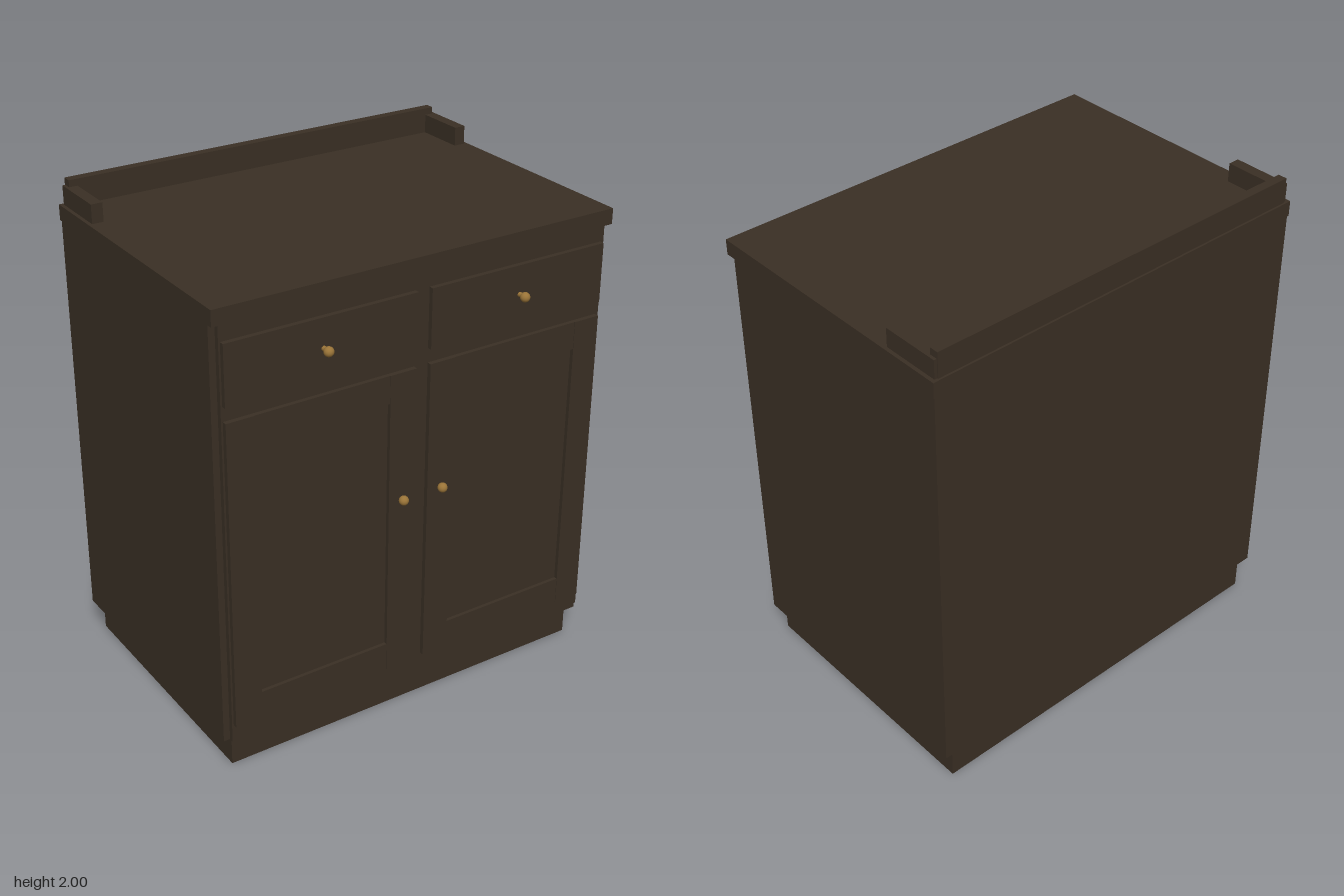
import * as THREE from 'three';

const wood = new THREE.MeshStandardMaterial({ name: 'dark wood', color: 0x3a2f24 });
const brass = new THREE.MeshStandardMaterial({ name: 'aged brass', color: 0x9a7438 });

// Box given by its extents on each axis
function box(parent, name, [x0, x1], [y0, y1], [z0, z1]) {
  const mesh = new THREE.Mesh(new THREE.BoxGeometry(x1 - x0, y1 - y0, z1 - z0), wood);
  mesh.position.set((x0 + x1) / 2, (y0 + y1) / 2, (z0 + z1) / 2);
  mesh.name = name;
  parent.add(mesh);
}

// Same box on both sides, mirrored in x
function pair(parent, name, [x0, x1], y, z) {
  box(parent, name + 'Left', [x0, x1], y, z);
  box(parent, name + 'Right', [-x1, -x0], y, z);
}

// Round knob on a short stem, turned around z
function knob(parent, name, x, y, z0, z1) {
  const r = 0.019;
  const group = new THREE.Group();
  group.name = name;
  const ball = new THREE.Mesh(new THREE.SphereGeometry(r, 20, 14), brass);
  ball.name = 'knobBall';
  ball.position.z = z1 - r;
  const stem = new THREE.Mesh(new THREE.CylinderGeometry(0.008, 0.01, z1 - r - z0, 16), brass);
  stem.name = 'knobStem';
  stem.rotation.x = Math.PI / 2;
  stem.position.z = (z0 + z1 - r) / 2;
  group.add(ball, stem);
  group.position.set(x, y, 0);
  parent.add(group);
}

export function createModel() {
  const cabinet = new THREE.Group();
  cabinet.name = 'cabinet';

  // Recessed base, carcass and worktop
  box(cabinet, 'plinth', [-0.803, 0.803], [0, 0.135], [-0.585, 0.495]);
  box(cabinet, 'carcass', [-0.846, 0.846], [0.135, 1.836], [-0.602, 0.515]);
  box(cabinet, 'worktop', [-0.851, 0.851], [1.836, 1.898], [-0.605, 0.549]);

  // Upstand behind and at the back of both sides
  box(cabinet, 'backUpstand', [-0.824, 0.824], [1.898, 2], [-0.597, -0.56]);
  pair(cabinet, 'sideUpstand', [0.79, 0.836], [1.898, 1.973], [-0.593, -0.352]);

  // Face frame
  const frameZ = [0.515, 0.535];
  pair(cabinet, 'frameStile', [0.78, 0.82], [0.135, 1.836], frameZ);
  box(cabinet, 'frameMullion', [-0.06, 0.06], [0.135, 1.836], frameZ);
  for (const [name, y] of [['bottomRail', [0.135, 0.25]], ['middleRail', [1.44, 1.56]], ['topRail', [1.74, 1.836]]]) {
    pair(cabinet, name, [0.06, 0.78], y, frameZ);
  }

  // Drawer fronts and framed doors
  const frontZ = [0.52, 0.554];
  pair(cabinet, 'drawerFront', [0.03, 0.813], [1.532, 1.77], frontZ);
  pair(cabinet, 'doorInnerStile', [0.03, 0.143], [0.21, 1.475], frontZ);
  pair(cabinet, 'doorOuterStile', [0.7, 0.813], [0.21, 1.475], frontZ);
  pair(cabinet, 'doorBottomRail', [0.143, 0.7], [0.21, 0.325], [0.52, 0.552]);
  pair(cabinet, 'doorTopRail', [0.143, 0.7], [1.363, 1.475], [0.52, 0.552]);
  pair(cabinet, 'doorPanel', [0.143, 0.7], [0.325, 1.363], [0.515, 0.538]);

  // Knobs
  for (const s of [-1, 1]) {
    knob(cabinet, 'drawerKnob', s * 0.423, 1.655, 0.55, 0.605);
    knob(cabinet, 'doorKnob', s * 0.088, 0.957, 0.55, 0.59);
  }
  return cabinet;
}
